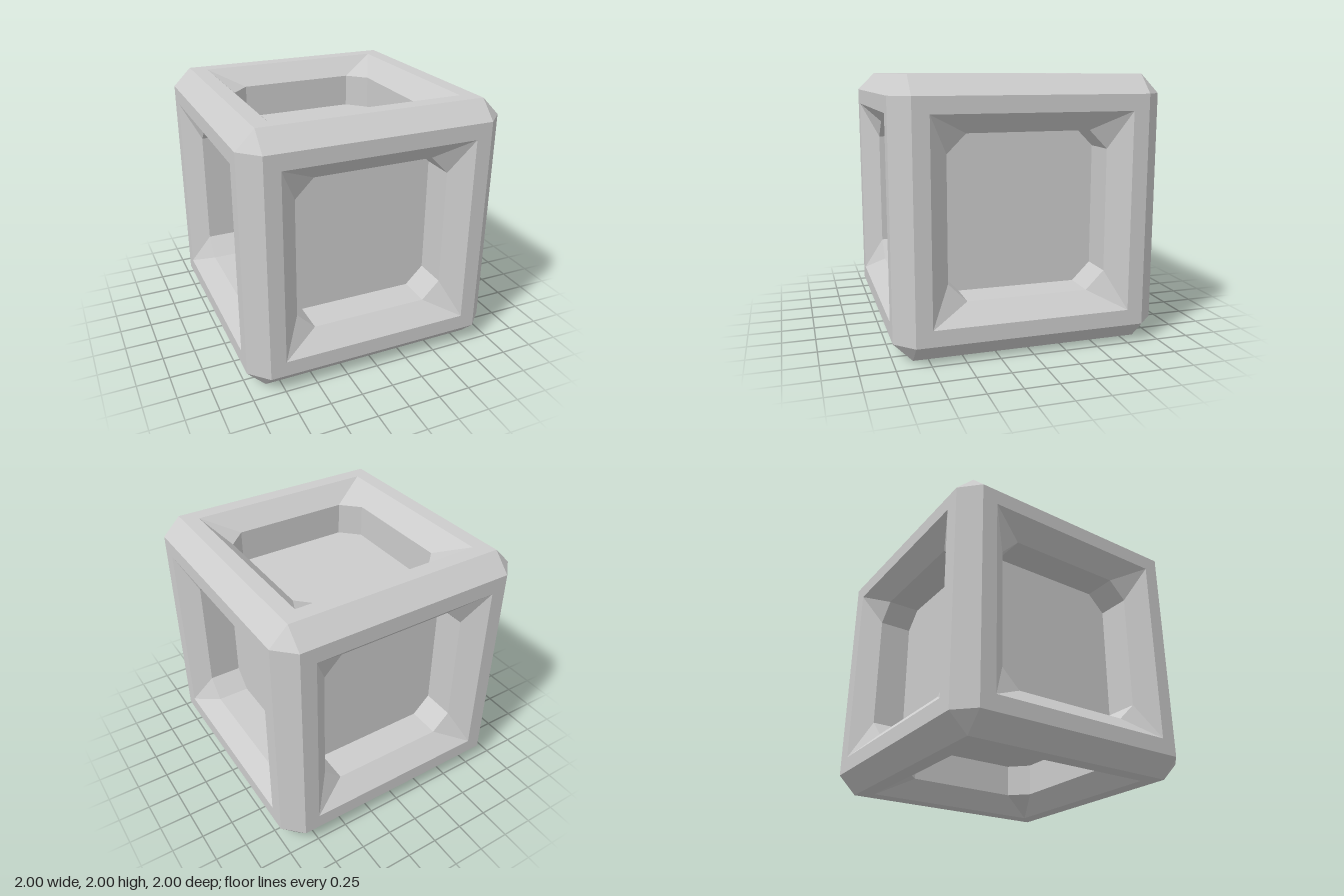
import * as THREE from 'three';

const OUT = 1, BEV = 0.86, OPEN = 0.74, IN = 0.6, CUT = 0.46;
const Q = Math.PI / 2;
const material = new THREE.MeshStandardMaterial({ color: 0xcccccc, flatShading: true });

// Flat-shaded geometry from a list of polygons (each a counter-clockwise fan)
function facets(polygons) {
  const pos = [];
  const [a, b, c] = [new THREE.Vector3(), new THREE.Vector3(), new THREE.Vector3()];
  for (const p of polygons) {
    for (let i = 1; i < p.length - 1; i++) {
      a.set(...p[0]); b.set(...p[i]); c.set(...p[i + 1]);
      const area = b.clone().sub(a).cross(c.clone().sub(a)).length();
      if (area > 1e-6) pos.push(...p[0], ...p[i], ...p[i + 1]);
    }
  }
  const g = new THREE.BufferGeometry();
  g.setAttribute('position', new THREE.Float32BufferAttribute(pos, 3));
  g.computeVertexNormals();
  return g;
}

// Square with cut corners (a = b gives a plain square), facing +z
const ring = (a, b, z) => [
  [a, b, z], [b, a, z], [-b, a, z], [-a, b, z],
  [-a, -b, z], [-b, -a, z], [b, -a, z], [a, -b, z],
];

// One side: flat rim, sloped border, straight octagonal wall, floor
function sideGeometry() {
  const rings = [ring(BEV, BEV, OUT), ring(OPEN, OPEN, OUT), ring(IN, CUT, BEV), ring(IN, CUT, IN)];
  const polygons = [rings[3]];
  for (let r = 0; r < 3; r++) {
    for (let i = 0; i < 8; i++) {
      const j = (i + 1) % 8;
      polygons.push([rings[r][i], rings[r][j], rings[r + 1][j], rings[r + 1][i]]);
    }
  }
  return facets(polygons);
}

export function createModel() {
  const model = new THREE.Group();
  model.name = 'recessedCube';
  const body = new THREE.Group();
  body.name = 'body';
  body.position.y = 1;
  model.add(body);

  const add = (name, geometry, parent, rx = 0, ry = 0) => {
    const mesh = new THREE.Mesh(geometry, material);
    mesh.name = name;
    mesh.rotation.set(rx, ry, 0);
    parent.add(mesh);
  };

  // Six recessed sides
  const side = sideGeometry();
  ['frontSide', 'leftSide', 'backSide', 'rightSide'].forEach((name, k) => add(name, side, body, 0, k * Q));
  add('topSide', side, body, -Q);
  add('bottomSide', side, body, Q);

  // Twelve bevelled edges, four along each axis
  const edge = facets([[[BEV, -BEV, OUT], [OUT, -BEV, BEV], [OUT, BEV, BEV], [BEV, BEV, OUT]]]);
  [['uprightEdges', 0, 0], ['depthEdges', Q, 0], ['crossEdges', 0, Q]].forEach(([name, rx, rz]) => {
    const set = new THREE.Group();
    set.name = name;
    set.rotation.set(rx, 0, rz);
    for (let k = 0; k < 4; k++) add('bevelEdge', edge, set, 0, k * Q);
    body.add(set);
  });

  // Eight corner facets
  const corner = facets([[[OUT, BEV, BEV], [BEV, OUT, BEV], [BEV, BEV, OUT]]]);
  for (const rx of [0, Math.PI]) {
    for (let k = 0; k < 4; k++) add('cornerFacet', corner, body, rx, k * Q);
  }
  return model;
}
